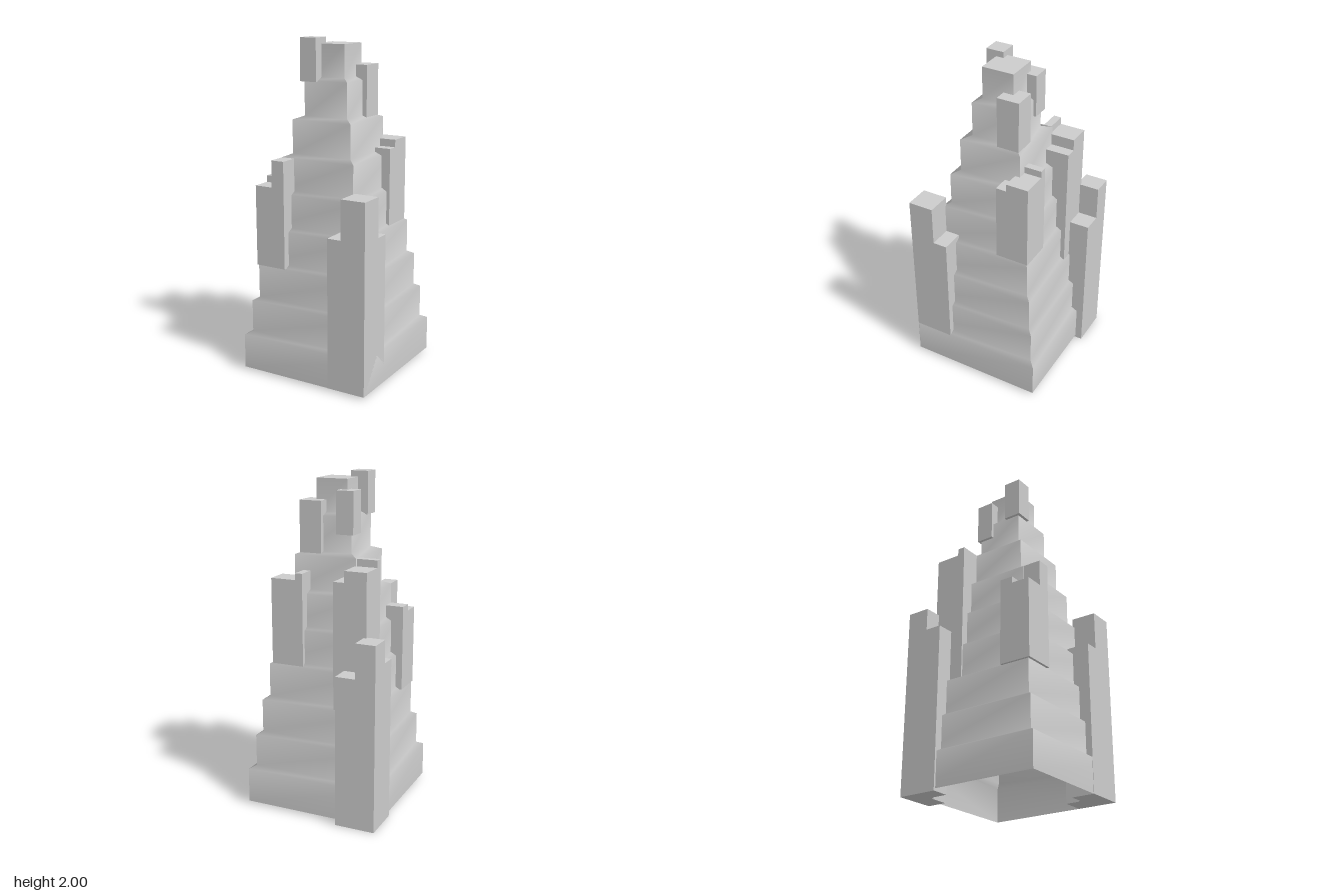
import * as THREE from 'three';

const material = new THREE.MeshStandardMaterial({ color: 0xcccccc, side: THREE.DoubleSide });
const CX = 0.005, CZ = 0.02;

// Half width and upper height of each terrace, from the ground up
const TERRACES = [
  [0.415, 0.235], [0.378, 0.45], [0.346, 0.67], [0.311, 0.89], [0.275, 1.107],
  [0.24, 1.32], [0.194, 1.54], [0.142, 1.765], [0.098, 1.965],
];

// Block given by its bounds
function block(name, x0, x1, y0, y1, z0, z1) {
  const mesh = new THREE.Mesh(new THREE.BoxGeometry(x1 - x0, y1 - y0, z1 - z0), material);
  mesh.position.set((x0 + x1) / 2, (y0 + y1) / 2, (z0 + z1) / 2);
  mesh.name = name;
  return mesh;
}

// One face of the terraced body: a strip softly shaded over the ledges
function bodySide() {
  const profile = [];
  let y = 0.015;
  TERRACES.forEach(([half, top], i) => {
    const last = i === TERRACES.length - 1;
    profile.push([half, y], [half, last ? top : top - 0.01]);
    y = top + 0.01;
  });
  const positions = [], index = [];
  profile.forEach(([h, py], i) => {
    positions.push(-h, py, h, h, py, h);
    if (i === 0) return;
    const a = 2 * (i - 1);
    index.push(a, a + 1, a + 3, a, a + 3, a + 2);
  });
  const geometry = new THREE.BufferGeometry();
  geometry.setAttribute('position', new THREE.Float32BufferAttribute(positions, 3));
  geometry.setIndex(index);
  geometry.computeVertexNormals();
  return geometry;
}

function terracedBody() {
  const body = new THREE.Group();
  body.name = 'terracedBody';
  const side = bodySide();
  for (let i = 0; i < 4; i++) {
    const mesh = new THREE.Mesh(side, material);
    mesh.rotation.y = i * Math.PI / 2;
    mesh.name = 'bodySide';
    body.add(mesh);
  }
  // Flat roof
  const [half, top] = TERRACES[TERRACES.length - 1];
  const roof = new THREE.Mesh(new THREE.PlaneGeometry(2 * half, 2 * half), material);
  roof.rotation.x = -Math.PI / 2;
  roof.position.y = top;
  roof.name = 'roof';
  body.add(roof);
  body.position.set(CX, 0, CZ);
  return body;
}

// Clusters of blocks: x0, x1, y0, y1, z0, z1
const TOWERS = {
  frontLeftTower: [
    [0.268, 0.42, 0.015, 1.155, 0.282, 0.437],
    [0.18, 0.268, 0.015, 0.92, 0.295, 0.437],
    [0.28, 0.42, 0.015, 0.92, 0.195, 0.282],
  ],
  backRightTower: [
    [-0.422, -0.3, 0, 1.117, -0.438, -0.3],
    [-0.3, -0.18, 0, 0.91, -0.438, -0.318],
    [-0.422, -0.315, 0, 0.98, -0.3, -0.2],
  ],
  frontRightTower: [
    [-0.232, -0.15, 0.665, 1.31, 0.262, 0.375],
    [-0.346, -0.232, 0.665, 1.15, 0.262, 0.375],
    [-0.346, -0.235, 0.665, 1.19, 0.18, 0.262],
  ],
  backLeftTower: [
    [0.145, 0.3, 0.88, 1.4, -0.28, -0.143],
    [0.1, 0.145, 0.88, 1.44, -0.28, -0.165],
    [0.2, 0.3, 0.88, 1.355, -0.143, -0.078],
  ],
  innerBackRightTower: [
    [-0.316, -0.18, 0.5, 1.487, -0.318, -0.164],
    [-0.18, -0.113, 0.5, 1.42, -0.318, -0.164],
    [-0.316, -0.19, 0.5, 1.53, -0.164, -0.118],
  ],
  summitBlocks: [
    [-0.155, -0.048, 1.75, 2, 0.071, 0.18],
    [-0.155, -0.048, 1.655, 1.905, -0.138, -0.03],
    [0.04, 0.176, 1.54, 1.843, -0.152, -0.015],
  ],
};

export function createModel() {
  const model = new THREE.Group();
  model.name = 'steppedTower';
  model.add(terracedBody());
  for (const [name, blocks] of Object.entries(TOWERS)) {
    const cluster = new THREE.Group();
    cluster.name = name;
    blocks.forEach((b) => cluster.add(block('towerBlock', ...b)));
    model.add(cluster);
  }
  return model;
}
